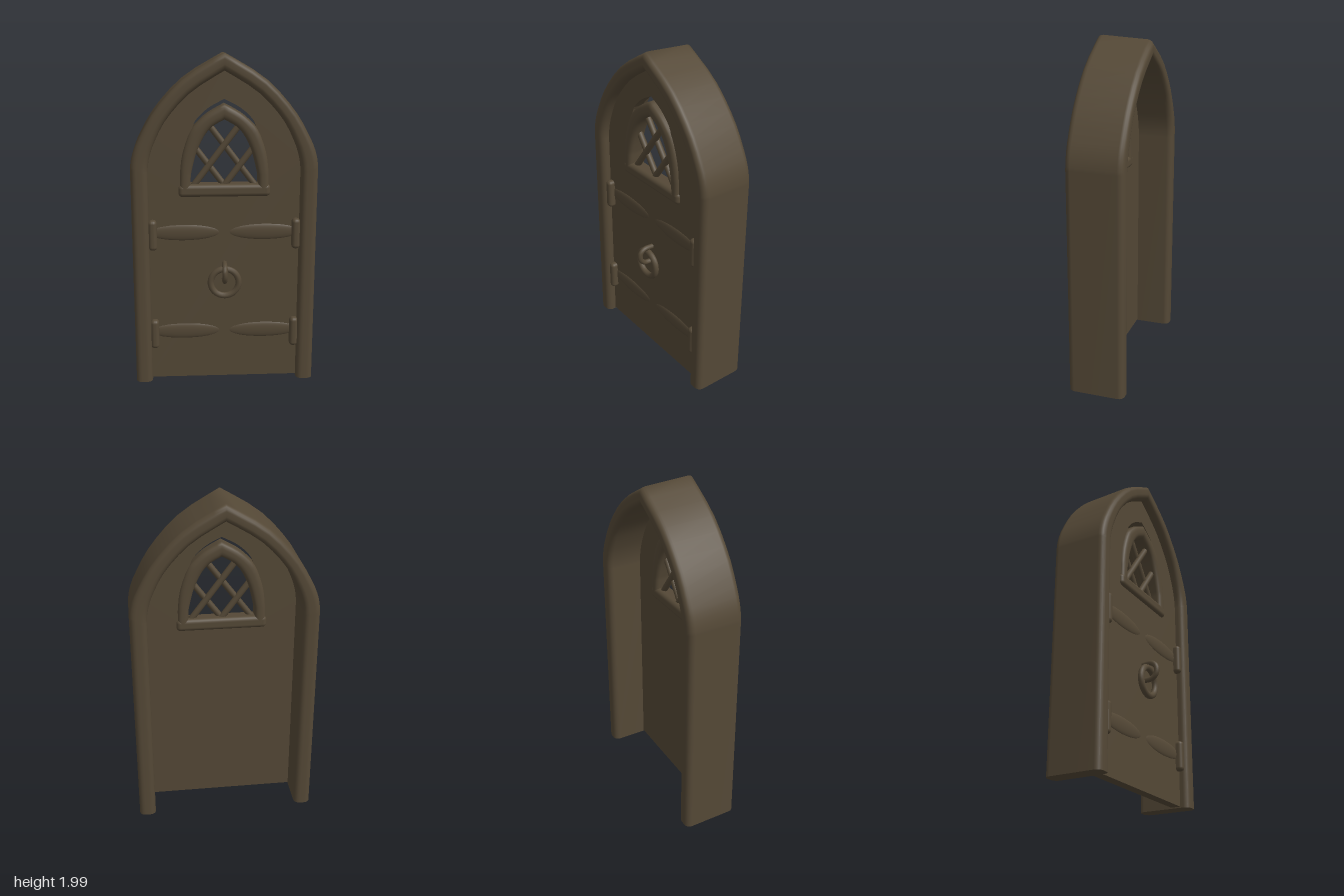
import * as THREE from 'three';
import { RoundedBoxGeometry } from 'three/addons/geometries/RoundedBoxGeometry.js';

const wood = new THREE.MeshStandardMaterial({ color: 0x544836 });
wood.name = 'dark brown';

const v2 = (p) => new THREE.Vector2(p[0], p[1]);

// Full pointed arch from its right half: foot, smooth side, apex, mirrored side, foot
function archPoints(foot, side, n = 14) {
  const half = [v2(foot), ...new THREE.SplineCurve(side.map(v2)).getPoints(n)];
  const left = half.slice(0, -1).reverse().map((p) => new THREE.Vector2(-p.x, p.y));
  return [...half, ...left];
}

// Rounded rectangular section as (u, z): u = 0 on the outer arch, 1 on the inner arch
function roundedSection(back, front, ru, rz) {
  const corners = [[ru, front - rz, Math.PI], [1 - ru, front - rz, Math.PI / 2],
    [1 - ru, back + rz, 0], [ru, back + rz, -Math.PI / 2]];
  const pts = [];
  for (const [u, z, start] of corners) {
    for (let k = 0; k <= 4; k++) {
      const a = start - (k / 4) * Math.PI / 2;
      pts.push([u + ru * Math.cos(a), z + rz * Math.sin(a)]);
    }
  }
  return pts;
}

// Sweep a section between two matching arches and cap both feet
function archMoulding(outer, inner, section) {
  const pos = [], idx = [], m = section.length, n = outer.length;
  const ring = (i) => section.forEach(([u, z]) => {
    const p = outer[i].clone().lerp(inner[i], u);
    pos.push(p.x, p.y, z);
  });
  for (let i = 0; i < n; i++) ring(i);
  for (let i = 0; i < n - 1; i++) {
    for (let j = 0; j < m; j++) {
      const a = i * m + j, b = i * m + (j + 1) % m;
      idx.push(a, a + m, b, b, a + m, b + m);
    }
  }
  for (const end of [0, n - 1]) {
    const s = pos.length / 3;
    ring(end);
    for (let j = 1; j < m - 1; j++) {
      if (end === 0) idx.push(s, s + j, s + j + 1);
      else idx.push(s, s + j + 1, s + j);
    }
  }
  const g = new THREE.BufferGeometry();
  g.setAttribute('position', new THREE.Float32BufferAttribute(pos, 3));
  g.setIndex(idx);
  g.computeVertexNormals();
  return g;
}

export function createModel() {
  const model = new THREE.Group();
  const add = (name, geo, x = 0, y = 0, z = 0, parent = model) => {
    const mesh = new THREE.Mesh(geo, wood);
    mesh.name = name;
    mesh.position.set(x, y, z);
    parent.add(mesh);
    return mesh;
  };

  // Deep pointed frame, its crown falling slightly towards the back
  const outer = archPoints([0.545, 0.005],
    [[0.545, 1.34], [0.535, 1.41], [0.497, 1.51], [0.397, 1.68], [0.228, 1.86], [0, 2]]);
  const innerSide = [[0.445, 1.32], [0.437, 1.39], [0.405, 1.49], [0.33, 1.63], [0.19, 1.78], [0, 1.9]];
  const frame = archMoulding(outer, archPoints([0.445, 0.005], innerSide),
    roundedSection(-0.19, 0.145, 0.35, 0.035));
  const fp = frame.attributes.position;
  for (let i = 0; i < fp.count; i++) {
    const high = THREE.MathUtils.clamp((fp.getY(i) - 1.4) / 0.6, 0, 1);
    fp.setY(i, fp.getY(i) - high * 0.02 * (0.145 - fp.getZ(i)) / 0.335);
  }
  frame.computeVertexNormals();
  add('archFrame', frame);

  // Thin door leaf near the front, with a pointed window opening
  const leaf = new THREE.Shape(archPoints([0.465, 0.012], innerSide.map(([x, y]) => [x * 1.05, y + 0.02])));
  leaf.holes.push(new THREE.Path(archPoints([0.22, 1.2],
    [[0.22, 1.4], [0.208, 1.48], [0.185, 1.57], [0.16, 1.625], [0.09, 1.69], [0, 1.738]]).reverse()));
  add('doorLeaf', new THREE.ExtrudeGeometry(leaf, { depth: 0.06, bevelEnabled: false }), 0, 0, 0.03);

  // Window surround and sill
  const windowGroup = new THREE.Group();
  windowGroup.name = 'window';
  model.add(windowGroup);
  add('windowSurround', archMoulding(
    archPoints([0.262, 1.2], [[0.26, 1.3], [0.245, 1.42], [0.2, 1.55], [0.15, 1.61], [0.09, 1.66], [0, 1.71]]),
    archPoints([0.2, 1.2], [[0.195, 1.3], [0.165, 1.42], [0.12, 1.52], [0.07, 1.58], [0, 1.62]]),
    roundedSection(0.01, 0.11, 0.4, 0.025)), 0, 0, 0, windowGroup);
  add('windowSill', new RoundedBoxGeometry(0.54, 0.075, 0.1, 3, 0.025), 0, 1.205, 0.06, windowGroup);

  // Diagonal lattice bars
  for (const s of [-1, 1]) {
    for (const [x0, x1, y0] of [[-0.19, 0.1, 1.47], [-0.01, 0.17, 1.23]]) {
      const rise = 1.33 * (x1 - x0);
      const bar = add('latticeBar', new THREE.CylinderGeometry(0.019, 0.019, Math.hypot(x1 - x0, rise), 10),
        s * (x0 + x1) / 2, y0 + 1.33 * (x0 + x1) / 2, 0.06 + s * 0.006, windowGroup);
      bar.rotation.z = -s * Math.atan2(x1 - x0, rise);
    }
  }

  // Hinge knuckles, and shallow strap swellings fading towards the middle
  for (const s of [-1, 1]) {
    for (const y of [0.94, 0.31]) {
      add('hinge', new RoundedBoxGeometry(0.05, 0.185, 0.06, 3, 0.022), s * 0.425, y, 0.1);
      const strap = add('hingeStrap', new THREE.SphereGeometry(1, 24, 12), s * 0.24, y + 0.01, 0.086);
      strap.scale.set(0.22, 0.05, 0.014);
    }
  }

  // Ring pull hanging from a staple
  const pull = new THREE.Group();
  pull.name = 'ringPull';
  model.add(pull);
  add('ring', new THREE.TorusGeometry(0.084, 0.019, 10, 32), 0, 0.645, 0.125, pull);
  const staple = new THREE.CatmullRomCurve3([[0.755, 0.085], [0.755, 0.15], [0.73, 0.178],
    [0.69, 0.178], [0.66, 0.15], [0.655, 0.085]].map(([y, z]) => new THREE.Vector3(0, y, z)));
  add('staple', new THREE.TubeGeometry(staple, 20, 0.016, 8), 0, 0, 0, pull);

  return model;
}
